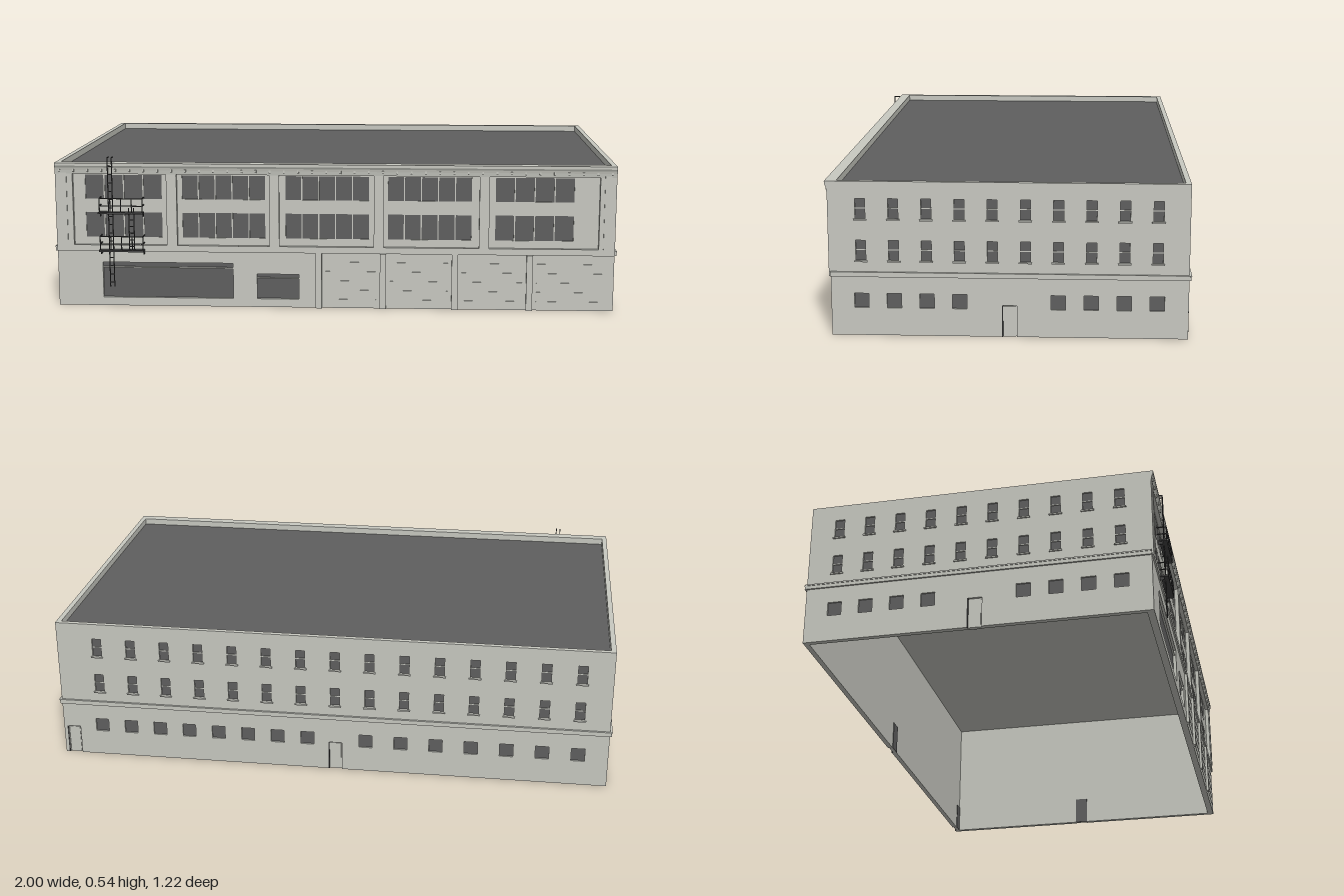
import * as THREE from 'three';

const stone = new THREE.MeshStandardMaterial({ color: 0xc8c9c1 });
stone.name = 'pale stone';
const dark = new THREE.MeshStandardMaterial({ color: 0x5f5f5f });
dark.name = 'dark grey';
const iron = new THREE.MeshStandardMaterial({ color: 0x454545 });
iron.name = 'iron';

const H = 0.52, SKIN = 0.008, WALL = 0.018;

// Box given by its two opposite corners
function block(parent, name, mat, x0, x1, y0, y1, z0, z1) {
  const mesh = new THREE.Mesh(new THREE.BoxGeometry(x1 - x0, y1 - y0, z1 - z0), mat);
  mesh.position.set((x0 + x1) / 2, (y0 + y1) / 2, (z0 + z1) / 2);
  mesh.name = name;
  parent.add(mesh);
}

// Upright slab with rectangular openings [x0, x1, y0, y1] and doorways [x0, x1, top] cut from its foot
function slab(parent, name, x0, x1, y0, y1, z0, z1, holes, doors = []) {
  const pts = [[x0, y0]];
  for (const [a, b, top] of doors) pts.push([a, y0], [a, top], [b, top], [b, y0]);
  pts.push([x1, y0], [x1, y1], [x0, y1]);
  const shape = new THREE.Shape(pts.map(([x, y]) => new THREE.Vector2(x, y)));
  for (const [a, b, c, d] of holes) {
    shape.holes.push(new THREE.Path([[a, c], [a, d], [b, d], [b, c]].map(([x, y]) => new THREE.Vector2(x, y))));
  }
  const mesh = new THREE.Mesh(new THREE.ExtrudeGeometry(shape, { depth: z1 - z0, bevelEnabled: false }), stone);
  mesh.position.z = z0;
  mesh.name = name;
  parent.add(mesh);
}

// Plain wall in its own frame: x along the wall, z = 0 at the outer face
function plainWall(name, x0, x1, upper, ground, doors) {
  const g = new THREE.Group();
  g.name = name;
  const holes = [];
  for (const x of upper) {
    for (const y of [0.255, 0.395]) {
      holes.push([x - 0.0165, x + 0.0165, y, y + 0.068]);
      block(g, 'sashBar', stone, x - 0.0165, x + 0.0165, y + 0.034, y + 0.037, -SKIN, -0.003);
      block(g, 'windowSill', stone, x - 0.022, x + 0.022, y - 0.005, y, -0.002, 0.005);
    }
  }
  for (const x of ground) holes.push([x - 0.024, x + 0.024, 0.094, 0.143]);
  slab(g, 'outerWall', x0, x1, 0, H, -SKIN, 0, holes, doors);
  block(g, 'innerWall', stone, x0, x1, 0, H, -WALL, -SKIN);
  for (const [a, b, c, d] of holes) block(g, 'windowPane', dark, a, b, c, d, -SKIN, -0.006);
  for (const [a, b, top] of doors) {
    block(g, 'doorLeaf', stone, a + 0.004, b - 0.004, 0, top - 0.004, -SKIN, -0.005);
    block(g, 'doorEdge', iron, a, a + 0.004, 0, top, -SKIN, 0.001);
    block(g, 'doorInside', dark, a, b, 0, top, -WALL - 0.002, -WALL);
  }
  block(g, 'stringCourse', stone, x0 - 0.004, x1 + 0.004, 0.2, 0.217, -0.001, 0.006);
  block(g, 'stringCourseLip', stone, x0 - 0.004, x1 + 0.004, 0.212, 0.217, 0, 0.008);
  return g;
}

const row = (start, step, n) => Array.from({ length: n }, (_, i) => start + step * i);

function frontWall() {
  const g = new THREE.Group();
  g.name = 'frontWall';
  const X = 0.992;
  // Window groups: left, right, number of panes
  const groups = [[-0.889, -0.611, 4], [-0.542, -0.242, 5], [-0.173, 0.127, 5], [0.191, 0.49, 5], [0.57, 0.849, 4]];
  const shopWindows = [[-0.83, -0.36, 0.03, 0.159], [-0.274, -0.124, 0.03, 0.121]];
  const bayWindows = [];
  for (const [a, b, n] of groups) {
    const w = (b - a) / n;
    for (let i = 0; i < n; i++) {
      for (const [lo, hi] of [[0.25, 0.34], [0.389, 0.475]]) {
        bayWindows.push([a + i * w + 0.002, a + (i + 1) * w - 0.002, lo, hi]);
      }
    }
  }
  block(g, 'innerWall', stone, -X, X, 0, H, 0.55, 0.56);
  slab(g, 'bayWall', -X, X, 0.2, H, 0.56, 0.566, bayWindows);
  slab(g, 'groundWall', -X, X, 0, 0.2, 0.56, 0.574, shopWindows);
  for (const [a, b, c, d] of [...bayWindows, ...shopWindows]) block(g, 'windowPane', dark, a, b, c, d, 0.56, 0.563);
  // Transoms of the two shop windows
  block(g, 'transom', stone, -0.83, -0.36, 0.138, 0.142, 0.56, 0.57);
  block(g, 'transom', stone, -0.274, -0.124, 0.104, 0.107, 0.56, 0.57);
  // Pilaster frame around the five bays
  const bays = [[-0.93, -0.595], [-0.558, -0.228], [-0.193, 0.143], [0.177, 0.515], [0.55, 0.935]];
  slab(g, 'pilasterFrame', -X, X, 0.2, H, 0.566, 0.58, bays.map(([a, b]) => [a, b, 0.223, 0.485]));
  for (const x of [-0.963, 0.963]) block(g, 'cornerStrip', stone, x - 0.012, x + 0.012, 0.223, 0.485, 0.58, 0.583);
  // Ground floor piers with ribbed shutters between them
  const piers = [-0.053, 0.176, 0.431, 0.695];
  piers.forEach((x, i) => {
    block(g, 'pier', stone, x - 0.011, x + 0.011, 0, 0.2, 0.574, 0.584);
    const end = i < 3 ? piers[i + 1] - 0.025 : 0.95;
    for (const y of row(0.03, 0.034, 5)) block(g, 'shutterRib', stone, x + 0.025, end, y, y + 0.002, 0.574, 0.5755);
  });
  // Cornice with small brackets
  const profile = [[0.56, 0.52], [0.588, 0.52], [0.588, 0.51], [0.584, 0.503], [0.582, 0.494], [0.58, 0.48], [0.56, 0.48]];
  const shape = new THREE.Shape(profile.map(([z, y]) => new THREE.Vector2(-z, y)));
  const cornice = new THREE.Mesh(new THREE.ExtrudeGeometry(shape, { depth: 2 * X, bevelEnabled: false }), stone);
  cornice.rotation.y = Math.PI / 2;
  cornice.position.x = -X;
  cornice.name = 'cornice';
  g.add(cornice);
  for (const x of row(-0.975, 0.05, 40)) block(g, 'corniceBracket', stone, x - 0.003, x + 0.003, 0.488, 0.498, 0.578, 0.586);
  return g;
}

function fireEscape() {
  const g = new THREE.Group();
  g.name = 'fireEscape';
  const r = 0.0016;
  const bar = (name, x0, x1, y0, y1, z0, z1) => block(g, name, iron, x0 - r, x1 + r, y0 - r, y1 + r, z0 - r, z1 + r);
  // Tall ladder with hooked top
  for (const x of [-0.8, -0.785]) {
    bar('ladderRail', x, x, 0.075, 0.54, 0.594, 0.594);
    bar('ladderHook', x, x, 0.54, 0.54, 0.572, 0.594);
  }
  for (const y of row(0.09, 0.03, 15)) bar('ladderRung', -0.8, -0.785, y, y, 0.594, 0.594);
  // Two platforms with railings
  for (const [floor, top] of [[0.343, 0.396], [0.206, 0.259]]) {
    block(g, 'platformFloor', iron, -0.836, -0.675, floor - 0.003, floor + 0.003, 0.582, 0.608);
    for (const x of [-0.83, -0.677]) {
      bar('bracket', x, x, floor - 0.012, floor, 0.58, 0.592);
      for (const y of [top, (floor + top) / 2]) bar('sideRail', x, x, y, y, 0.575, 0.607);
    }
    for (const y of [top, (floor + top) / 2]) bar('frontRail', -0.83, -0.677, y, y, 0.607, 0.607);
    for (const x of row(-0.83, 0.03825, 5)) bar('railPost', x, x, floor, top, 0.607, 0.607);
  }
  // Short ladder between the platforms
  for (const x of [-0.727, -0.709]) bar('ladderRail', x, x, 0.206, 0.36, 0.597, 0.597);
  for (const y of row(0.222, 0.024, 6)) bar('ladderRung', -0.727, -0.709, y, y, 0.597, 0.597);
  return g;
}

export function createModel() {
  const model = new THREE.Group();
  model.name = 'warehouse';
  model.add(frontWall(), fireEscape());

  // Side walls share the same window spacing, mirrored
  const zs = row(0.473, -0.108, 10);
  const zGround = zs.filter((_, i) => i < 4 || i > 5);
  const left = plainWall('leftWall', -0.571, 0.601, zs.map(z => -z), zGround.map(z => -z), [[-0.01, 0.04, 0.107]]);
  left.rotation.y = Math.PI / 2;
  left.position.x = 0.992;
  const right = plainWall('rightWall', -0.601, 0.571, zs, zGround, [[-0.04, 0.01, 0.107]]);
  right.rotation.y = -Math.PI / 2;
  right.position.x = -0.992;

  // Back wall, its x running opposite to the model's
  const back = plainWall('backWall', -0.991, 0.991, row(-0.845, 0.1235, 15),
    [...row(-0.845, 0.109, 8), ...row(0.13, 0.126, 7)], [[-0.98, -0.93, 0.107], [-0.005, 0.045, 0.107]]);
  back.rotation.y = Math.PI;
  back.position.z = -0.602;
  model.add(left, right, back);

  // Flat dark roof behind the parapet, with a pale ceiling below
  block(model, 'roof', dark, -0.98, 0.98, 0.49, 0.497, -0.59, 0.555);
  block(model, 'ceiling', stone, -0.98, 0.98, 0.486, 0.49, -0.59, 0.555);
  return model;
}
